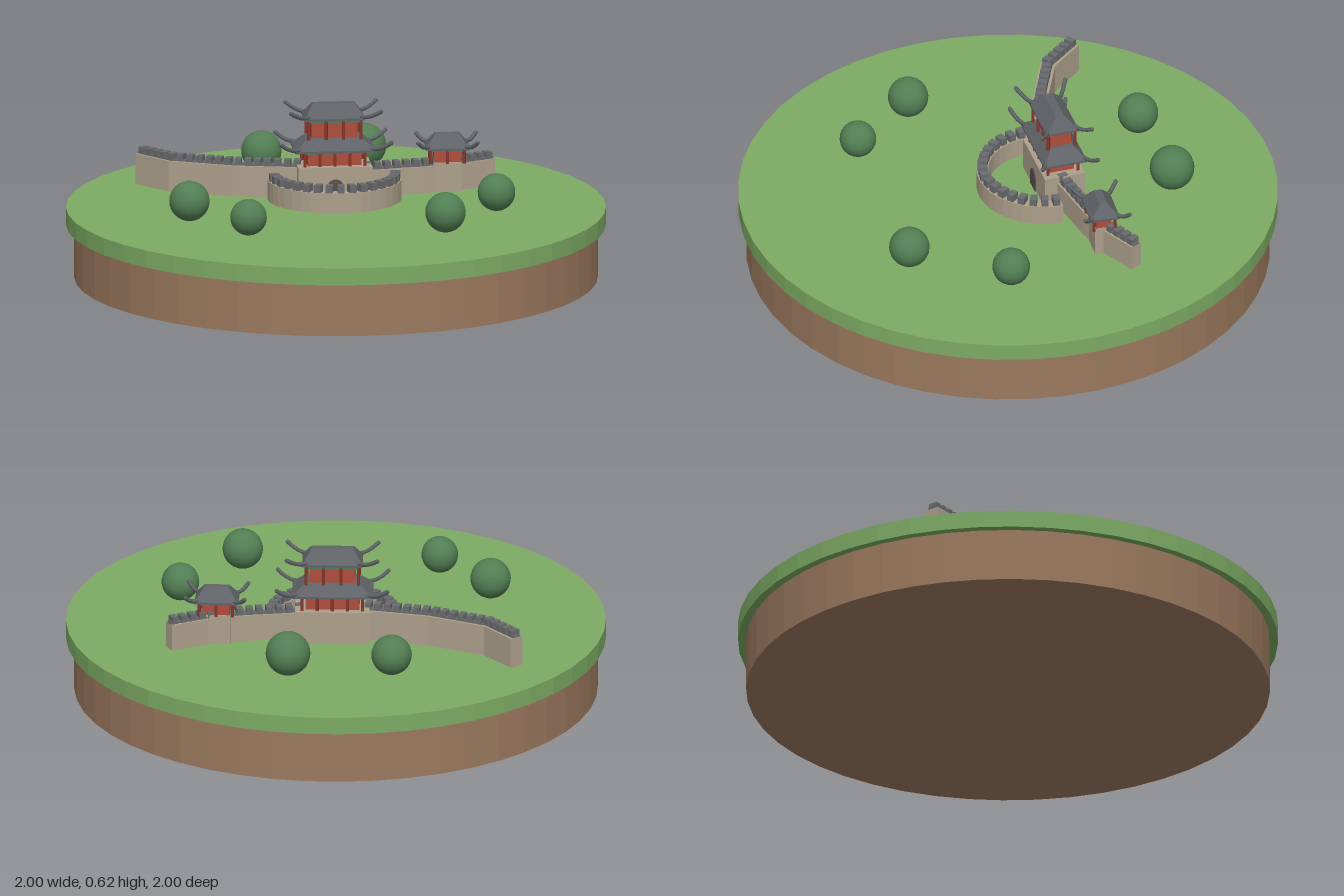
import * as THREE from 'three';

const mat = (name, color, extra = {}) => {
  const m = new THREE.MeshStandardMaterial({ color, ...extra });
  m.name = name;
  return m;
};
const GROUND = 0.265, TILT = 0.3;

export function createModel() {
  const grass = mat('grass', 0x7dab64, { flatShading: true });
  const earth = mat('earth', 0x9b795e, { flatShading: true });
  const stone = mat('stone', 0xada08b);
  const tile = mat('roofTile', 0x5f6367);
  const cap = mat('battlementGrey', 0x696a6d);
  const red = mat('redWall', 0xb04c3c);
  const darkRed = mat('darkRedPost', 0x8a382c);
  const trim = mat('greenTrim', 0x4b7a60);
  const dark = mat('archDark', 0x57524a);
  const leaf = mat('foliage', 0x527e53);
  const model = new THREE.Group();

  const add = (parent, name, geo, material, x = 0, y = 0, z = 0) => {
    const mesh = new THREE.Mesh(geo, material);
    mesh.name = name;
    mesh.position.set(x, y, z);
    parent.add(mesh);
    return mesh;
  };
  // Box standing on y, given half width and half depth
  const block = (parent, name, material, hw, hd, y0, y1) =>
    add(parent, name, new THREE.BoxGeometry(hw * 2, y1 - y0, hd * 2), material, 0, (y0 + y1) / 2, 0);

  // Hipped roof: a box whose top is drawn in, with a thin eave and upswept corner horns
  const roof = (parent, name, eave, top, y0, y1, tip, rise) => {
    const g = new THREE.Group();
    g.name = name;
    parent.add(g);
    const geo = new THREE.BoxGeometry(eave[0] * 2, y1 - y0 - 0.008, eave[1] * 2);
    const p = geo.attributes.position;
    for (let i = 0; i < p.count; i++) {
      if (p.getY(i) > 0) p.setXYZ(i, Math.sign(p.getX(i)) * top[0], p.getY(i), Math.sign(p.getZ(i)) * top[1]);
    }
    const flat = geo.toNonIndexed();
    flat.computeVertexNormals();
    add(g, 'roofSlope', flat, tile, 0, (y0 + y1 + 0.008) / 2, 0);
    block(g, 'eave', tile, eave[0], eave[1], y0, y0 + 0.008);
    for (const sx of [-1, 1]) for (const sz of [-1, 1]) {
      const curve = new THREE.QuadraticBezierCurve3(
        new THREE.Vector3(sx * eave[0] * 0.85, y0 + 0.014, sz * eave[1] * 0.85),
        new THREE.Vector3(sx * eave[0] * 1.1, y0 + 0.006, sz * eave[1] * 1.1),
        new THREE.Vector3(sx * tip[0], y0 + rise, sz * tip[1]));
      add(g, 'cornerHorn', new THREE.TubeGeometry(curve, 5, 0.008, 6), tile);
      const end = curve.getPoint(1);
      add(g, 'hornTip', new THREE.SphereGeometry(0.008, 6, 4), tile, end.x, end.y, end.z);
    }
  };

  // Red storey with posts around it and a green beam under the eaves
  const storey = (parent, name, hw, hd, y0, y1, posts) => {
    const g = new THREE.Group();
    g.name = name;
    parent.add(g);
    block(g, 'redWalls', red, hw, hd, y0, y1);
    block(g, 'eaveBeam', trim, hw + 0.016, hd + 0.016, y1 - 0.01, y1);
    const geo = new THREE.CylinderGeometry(0.006, 0.006, y1 - y0, 8);
    for (let i = 0; i < posts; i++) for (const s of [-1, 1]) {
      const x = (i / (posts - 1) * 2 - 1) * (hw + 0.012);
      add(g, 'post', geo, darkRed, x, (y0 + y1) / 2, s * (hd + 0.012));
    }
  };

  // Mitred strip along a path of [x, z] points, raised from y0 to y1
  const ribbon = (path, half, y0, y1) => {
    const v = path.map(([x, z]) => new THREE.Vector2(x, -z));
    const sides = [[], []];
    v.forEach((q, i) => {
      const a = (i ? q.clone().sub(v[i - 1]) : v[1].clone().sub(q)).normalize();
      const b = (i < v.length - 1 ? v[i + 1].clone().sub(q) : a.clone()).normalize();
      const n = a.clone().add(b).normalize();
      const w = half / n.dot(a);
      const off = new THREE.Vector2(-n.y, n.x).multiplyScalar(w);
      sides[0].push(q.clone().add(off));
      sides[1].unshift(q.clone().sub(off));
    });
    const geo = new THREE.ExtrudeGeometry(new THREE.Shape([...sides[0], ...sides[1]]),
      { depth: y1 - y0, bevelEnabled: false });
    return geo.rotateX(-Math.PI / 2).translate(0, y0, 0);
  };

  // Wall with evenly spaced merlons
  const wall = (parent, name, path, half, top, o) => {
    const g = new THREE.Group();
    g.name = name;
    parent.add(g);
    add(g, 'wallBody', ribbon(path, half, 0, top), stone);
    if (o.walk) add(g, 'walkway', ribbon(path, half * 0.62, top, top + 0.006), cap);
    const geo = new THREE.BoxGeometry(o.across, o.high, o.along);
    const curve = new THREE.CurvePath();
    for (let i = 1; i < path.length; i++) {
      curve.add(new THREE.LineCurve(new THREE.Vector2(...path[i - 1]), new THREE.Vector2(...path[i])));
    }
    const n = Math.round(curve.getLength() / o.step);
    for (let i = 0; i < n; i++) {
      const t = (i + 0.5) / n, p = curve.getPoint(t), d = curve.getPoint(t + 0.002).sub(p);
      add(g, 'merlon', geo, cap, p.x, top + o.high / 2, p.y).rotation.y = Math.atan2(d.x, d.y);
    }
  };

  // Round island
  add(model, 'earthBase', new THREE.CylinderGeometry(0.97, 0.97, 0.2, 48), earth, 0, 0.1, 0);
  add(model, 'grassDisc', new THREE.CylinderGeometry(1, 1, 0.065, 48), grass, 0, 0.2325, 0);

  // Round trees: x, z, radius
  for (const [x, z, r] of [[-0.04, -0.61, 0.075], [0.33, -0.51, 0.083], [-0.605, 0.035, 0.075],
    [-0.495, 0.335, 0.068], [0.505, 0.33, 0.07], [0.195, 0.575, 0.075]]) {
    add(model, 'tree', new THREE.SphereGeometry(r, 24, 16), leaf, x, 0.275 + r, z);
  }

  // Main gate tower
  const gate = new THREE.Group();
  gate.name = 'gateTower';
  gate.position.set(0.06, GROUND, -0.165);
  gate.rotation.y = -TILT;
  model.add(gate);
  block(gate, 'stoneBase', stone, 0.138, 0.078, 0, 0.125);
  const arch = new THREE.Shape();
  arch.moveTo(-0.03, 0).lineTo(0.03, 0).lineTo(0.03, 0.05);
  arch.absarc(0, 0.05, 0.03, 0, Math.PI, false);
  add(gate, 'archway', new THREE.ExtrudeGeometry(arch, { depth: 0.006, bevelEnabled: false }), dark, 0, 0, 0.077);
  storey(gate, 'lowerStorey', 0.1, 0.046, 0.125, 0.182, 5);
  roof(gate, 'lowerRoof', [0.15, 0.082], [0.1, 0.045], 0.18, 0.23, [0.205, 0.108], 0.042);
  storey(gate, 'upperStorey', 0.085, 0.04, 0.225, 0.3, 4);
  roof(gate, 'upperRoof', [0.112, 0.062], [0.078, 0.016], 0.298, 0.355, [0.168, 0.096], 0.04);

  // Half-round outer wall in front of the gate
  const arc = [];
  for (let i = 0; i <= 20; i++) {
    const a = Math.PI * i / 20;
    arc.push([0.227 * Math.cos(a), 0.04 + 0.227 * Math.sin(a)]);
  }
  wall(gate, 'outerWall', arc, 0.022, 0.075, { across: 0.036, high: 0.028, along: 0.026, step: 0.042 });

  // Long walls running out on both sides
  const walls = new THREE.Group();
  walls.name = 'longWalls';
  walls.position.y = GROUND;
  model.add(walls);
  const style = { walk: true, across: 0.036, high: 0.026, along: 0.024, step: 0.036 };
  wall(walls, 'rightWall', [[-0.513, -0.64], [-0.45, -0.485], [-0.27, -0.325], [-0.05, -0.2]], 0.028, 0.115, style);
  wall(walls, 'leftWall', [[0.16, -0.125], [0.39, -0.095], [0.53, -0.09], [0.675, -0.115]], 0.025, 0.1, style);

  // Small watchtower on the left wall
  const watch = new THREE.Group();
  watch.name = 'watchTower';
  watch.position.set(0.483, GROUND, -0.085);
  watch.rotation.y = -0.36;
  model.add(watch);
  block(watch, 'stoneBase', stone, 0.052, 0.034, 0, 0.112);
  storey(watch, 'watchRoom', 0.05, 0.028, 0.11, 0.165, 3);
  roof(watch, 'watchRoof', [0.08, 0.055], [0.045, 0.014], 0.162, 0.218, [0.11, 0.085], 0.036);
  return model;
}
